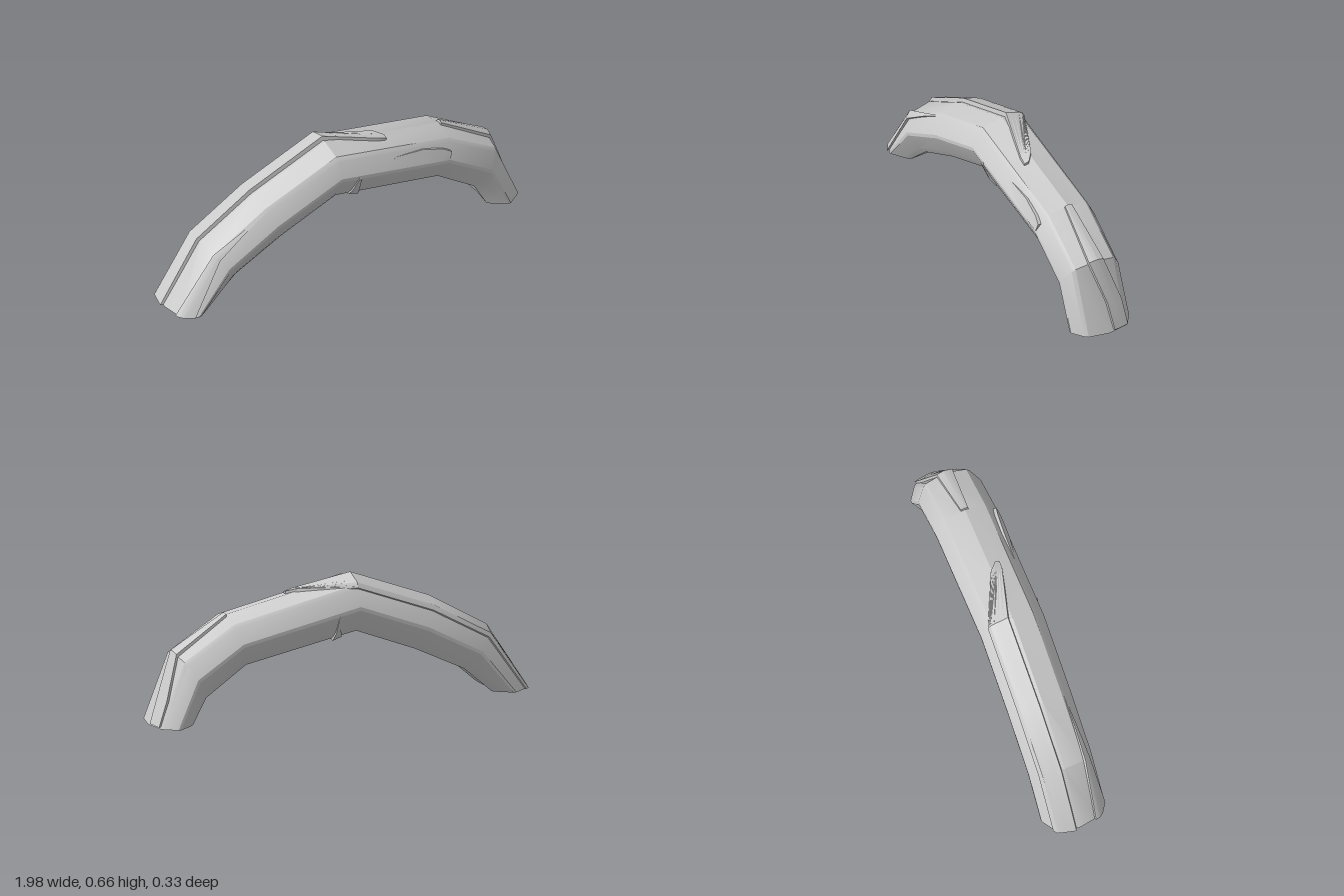
import * as THREE from 'three';
import { toCreasedNormals } from 'three/addons/utils/BufferGeometryUtils.js';

// Arch stations: outer x, y and inner x, y
const RINGS = [
  [-0.985, 0, -0.785, 0], [-0.78, 0.31, -0.64, 0.13], [-0.48, 0.485, -0.38, 0.26],
  [-0.07, 0.645, -0.07, 0.385], [0.58, 0.51, 0.51, 0.275], [0.85, 0.345, 0.72, 0.13],
  [0.985, 0, 0.79, 0],
];
// Half cross-section from the crown to the underside: z, and 1 = outer to 0 = inner
const SECTION = [
  [0, 1], [0.105, 0.9], [0.122, 0.83], [0.163, 0.52],
  [0.163, 0.45], [0.122, 0.12], [0.1, 0], [0, 0.04],
];
const HALF = SECTION.length - 1;

// Linear interpolation in a table of rows
function sample(table, s) {
  const i = Math.min(Math.floor(s), table.length - 2);
  return table[i].map((a, k) => a + (table[i + 1][k] - a) * (s - i));
}

// Point on the trunk: u along the arch, v around it (0 = crown, + = front), h = height above it
function surface(u, v, h = 0) {
  const [ox, oy, ix, iy] = sample(RINGS, u);
  const mirrored = v < 0 || v > HALF;
  const [zAbs, t] = sample(SECTION, v < 0 ? -v : v > HALF ? 2 * HALF - v : v);
  const z = mirrored ? -zAbs : zAbs;
  const out = new THREE.Vector3(ox - ix, oy - iy, 0).normalize();
  const dir = out.multiplyScalar(((t - 0.5) * 2) ** 3);
  dir.z = (z / 0.163) ** 3;
  dir.normalize();
  return new THREE.Vector3(ix + (ox - ix) * t, iy + (oy - iy) * t, z).addScaledVector(dir, h);
}

// Skin a grid of points, rows of equal length
function skin(name, rows, crease) {
  const pos = [], index = [], n = rows[0].length;
  rows.forEach((row) => row.forEach((p) => pos.push(p.x, p.y, p.z)));
  for (let i = 0; i < rows.length - 1; i++) {
    for (let j = 0; j < n - 1; j++) {
      const a = i * n + j, b = a + 1, c = a + n, d = c + 1;
      index.push(a, b, c, b, d, c);
    }
  }
  const geo = new THREE.BufferGeometry();
  geo.setAttribute('position', new THREE.Float32BufferAttribute(pos, 3));
  geo.setIndex(index);
  const mesh = new THREE.Mesh(
    toCreasedNormals(geo, crease),
    new THREE.MeshStandardMaterial({ color: 0xcccccc, side: THREE.DoubleSide })
  );
  mesh.name = name;
  return mesh;
}

// Raised strip lying on the trunk; each station is [along, edge0, edge1, height0, height1]
function strip(name, stations, around = false, cols = 8) {
  const at = (s, e, h) => (around ? surface(e, s, h) : surface(s, e, h));
  const sunk = -0.012;
  const rows = stations.map(([s, e0, e1, h0, h1]) => {
    const row = [at(s, e0, sunk)];
    for (let j = 0; j <= cols; j++) {
      const k = j / cols;
      // Edges drawn in a little for a bevelled side
      const e = e0 + (e1 - e0) * (0.04 + 0.92 * k);
      row.push(at(s, e, h0 + (h1 - h0) * k));
    }
    row.push(at(s, e1, sunk));
    return row;
  });
  // Closed ends
  const end = ([s, e0, e1]) => rows[0].map((_, j) => at(s, e0 + ((e1 - e0) * j) / (cols + 2), sunk));
  return skin(name, [end(stations[0]), ...rows, end(stations[stations.length - 1])], 0.5);
}

export function createModel() {
  const group = new THREE.Group();
  group.name = 'arch';

  // Trunk with flat feet
  const loop = RINGS.map((_, u) => Array.from({ length: 2 * HALF + 1 }, (_, v) => surface(u, v)));
  const foot = (u) => {
    const [ox, , ix] = RINGS[u];
    return loop[u].map(() => new THREE.Vector3((ox + ix) / 2, 0, 0));
  };
  group.add(skin('trunk', [foot(0), ...loop, foot(RINGS.length - 1)], 0.45));

  // Long strip over the crown, crossing to the front at its tip
  group.add(strip('crownStrip', [
    [0, -2, -0.12, 0.008, 0.015],
    [1, -2, -0.12, 0.01, 0.02],
    [2, -2, -0.13, 0.01, 0.022],
    [3, -2, -0.15, 0.01, 0.025],
    [3.42, -0.1, 0.5, 0.016, 0.016],
    [3.49, 0.28, 0.52, 0.014, 0.012],
  ]));

  // Strip down the outside of the left leg
  group.add(strip('legStrip', [
    [4, -0.2, 0.19, 0.012, 0.012],
    [5, -0.43, 0.4, 0.015, 0.015],
    [5.6, -0.95, -0.11, 0.015, 0.015],
    [5.97, -1.05, -0.25, 0.013, 0.013],
  ]));

  // Tapering strip on the front of the right leg
  group.add(strip('frontStrip', [
    [0, 0.75, 2.8, 0.008, 0.012],
    [1, 0.95, 2.2, 0.014, 0.014],
    [1.5, 1.3, 2, 0.009, 0.009],
    [2, 1.5, 1.6, 0, 0],
  ]));

  // Leaf-shaped ridge on the front
  group.add(strip('frontLeaf', [
    [3.5, 2.3, 2.5, 0, 0],
    [3.75, 2.08, 2.9, 0.012, 0.005],
    [3.93, 2.22, 3, 0.016, 0.005],
    [4, 2.42, 2.95, 0.016, 0.005],
  ]));

  // Ridge wrapped round the underside, pointed at both ends
  group.add(strip('undersideRidge', [
    [3.25, 3.172, 3.165, 0.001, 0.001],
    [4, 3.18, 3.15, 0.006, 0.006],
    [5, 3.2, 3.13, 0.012, 0.009],
    [6, 3.22, 3.12, 0.014, 0.008],
    [7, 3.22, 3.12, 0.014, 0.008],
    [8, 3.22, 3.13, 0.014, 0.008],
    [9, 3.2, 3.15, 0.01, 0.006],
    [10, 3.18, 3.17, 0.001, 0.001],
  ], true, 3));

  return group;
}
